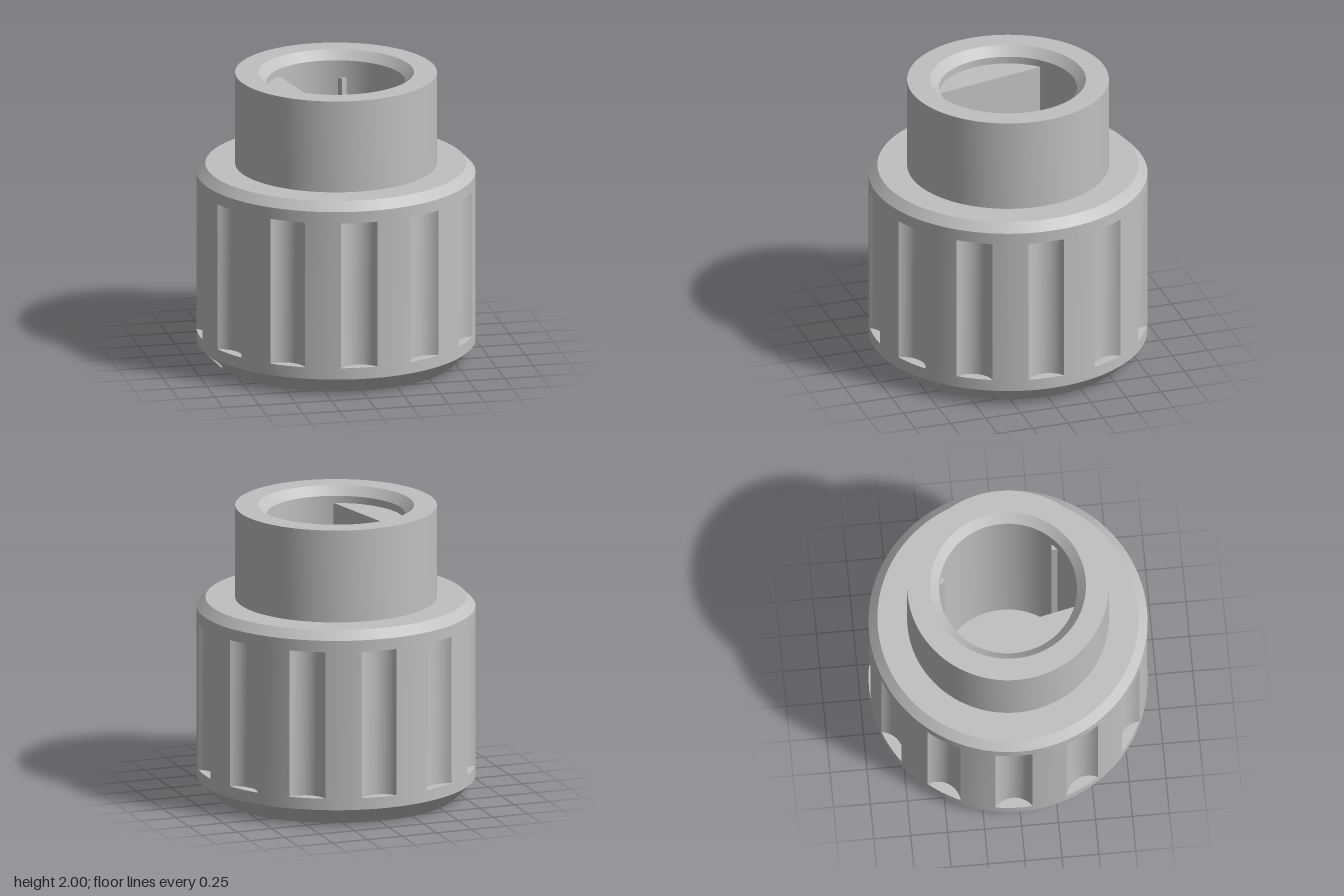
import * as THREE from 'three';
import { toCreasedNormals } from 'three/addons/utils/BufferGeometryUtils.js';

const SEG = 96;
const RAD = Math.PI / 180;
const FLAT_ANGLE = 167.75 * RAD; // shared direction of pointer slot and shaft flat, from +x toward +z

// Side wall between two matching outlines of [x, z] points
function loft(low, high, y0, y1) {
  const pos = [];
  const n = low.length;
  for (let i = 0; i < n; i++) {
    const j = (i + 1) % n;
    const a = [low[i][0], y0, low[i][1]];
    const b = [low[j][0], y0, low[j][1]];
    const c = [high[i][0], y1, high[i][1]];
    const d = [high[j][0], y1, high[j][1]];
    pos.push(...a, ...c, ...b, ...c, ...d, ...b);
  }
  const g = new THREE.BufferGeometry();
  g.setAttribute('position', new THREE.Float32BufferAttribute(pos, 3));
  return toCreasedNormals(g, 0.5);
}

// Turned surface from [radius, height] pairs, with sharp corners kept
function turned(profile) {
  const g = new THREE.LatheGeometry(profile.map(([r, y]) => new THREE.Vector2(r, y)), SEG);
  return toCreasedNormals(g, 0.5);
}

// Circle with twelve scooped grip flutes
function flutedOutline(r) {
  const pts = [];
  const half = 7.65 * RAD;
  const scoop = 0.153; // flute radius
  const w = r * Math.sin(half);
  const centre = r * Math.cos(half) + Math.sqrt(scoop * scoop - w * w);
  const sweep = Math.asin(w / scoop);
  for (let k = 0; k < 12; k++) {
    const a = (2.75 + 30 * k) * RAD;
    for (let i = 0; i <= 14; i++) {
      const t = sweep * (i / 7 - 1);
      const u = centre - scoop * Math.cos(t);
      const v = scoop * Math.sin(t);
      pts.push([u * Math.cos(a) - v * Math.sin(a), u * Math.sin(a) + v * Math.cos(a)]);
    }
    for (let i = 1; i < 5; i++) {
      const b = a + half + (30 * RAD - 2 * half) * i / 5;
      pts.push([r * Math.cos(b), r * Math.sin(b)]);
    }
  }
  return pts;
}

// Circle with a straight slot running in from the rim
function slottedOutline(r) {
  const w = 0.083, inner = 0.317;
  const c = Math.cos(FLAT_ANGLE), s = Math.sin(FLAT_ANGLE);
  const start = Math.asin(w / r);
  const pts = [];
  for (let i = 0; i <= SEG; i++) {
    const a = FLAT_ANGLE + start + (2 * Math.PI - 2 * start) * i / SEG;
    pts.push([r * Math.cos(a), r * Math.sin(a)]);
  }
  for (const v of [-w, w]) pts.push([inner * c - v * s, inner * s + v * c]);
  return pts;
}

export function createModel() {
  const knob = new THREE.Group();
  knob.name = 'controlKnob';
  const grey = new THREE.MeshStandardMaterial({ color: 0xc0c0c0 });
  grey.name = 'grey plastic';

  const add = (name, geometry) => {
    const mesh = new THREE.Mesh(geometry, grey);
    mesh.name = name;
    knob.add(mesh);
    return mesh;
  };

  // Bevelled end face with the pointer slot
  const face = slottedOutline(0.82);
  add('slottedBevel', loft(face, slottedOutline(0.92), 0, 0.1));
  const cap = new THREE.ShapeGeometry(new THREE.Shape(face.map(([x, z]) => new THREE.Vector2(x, z))));
  add('endFace', cap.rotateX(Math.PI / 2));

  // Lower rim, whose underside is the slot floor
  add('lowerRim', turned([[0, 0.1], [0.92, 0.1], [0.94, 0.12], [0.94, 0.2], [0.8, 0.2]]));

  // Fluted grip
  const grip = flutedOutline(0.94);
  add('flutedGrip', loft(grip, grip, 0.2, 1.22));

  // Upper rim, neck and shaft bore
  add('upperRimAndNeck', turned([
    [0.8, 1.22], [0.94, 1.22], [0.94, 1.3], [0.88, 1.36], [0.68, 1.36], [0.68, 2],
    [0.525, 2], [0.465, 1.94], [0.465, 0.25], [0, 0.25],
  ]));

  // Flat side of the D-shaped bore
  const flat = new THREE.Shape();
  const half = Math.acos(0.241 / 0.467);
  flat.absarc(0, 0, 0.467, -FLAT_ANGLE - half, -FLAT_ANGLE + half, false);
  const flatGeo = new THREE.ExtrudeGeometry(flat, { depth: 1.64, bevelEnabled: false, curveSegments: 32 });
  add('shaftFlat', flatGeo.rotateX(-Math.PI / 2)).position.y = 0.25;

  // Two pointed crush ribs in the bore
  for (const turn of [-120, 120]) {
    const a = FLAT_ANGLE + turn * RAD;
    const rib = add('crushRib', new THREE.CylinderGeometry(0.045, 0.045, 1.57, 4).toNonIndexed());
    rib.geometry.computeVertexNormals();
    rib.position.set(0.48 * Math.cos(a), 1.035, 0.48 * Math.sin(a));
    rib.rotation.y = -a;
  }
  return knob;
}
